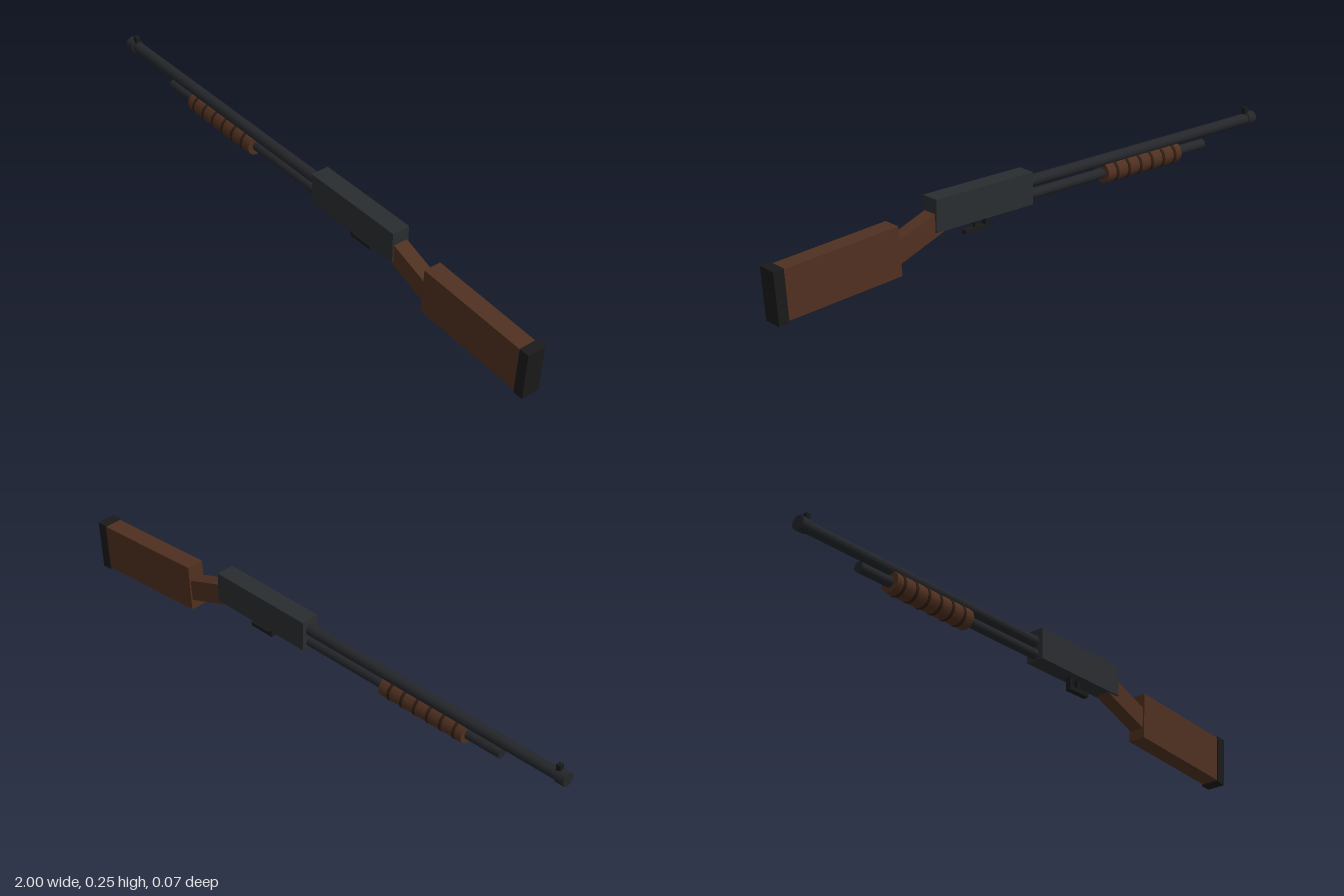
import * as THREE from 'three';

const mat = (color) => new THREE.MeshStandardMaterial({ color });

export function createModel() {
  const model = new THREE.Group();
  const steel = mat(0x2a2d30), barrelSteel = mat(0x24262a), black = mat(0x1a1a1a);
  const wood = mat(0x4f3020), darkWood = mat(0x2e1c12);

  const add = (name, geometry, material, x, y, tilt = 0) => {
    const mesh = new THREE.Mesh(geometry, material);
    mesh.name = name;
    mesh.position.set(x, y, 0);
    mesh.rotation.z = tilt;
    model.add(mesh);
    return mesh;
  };
  const box = (name, material, x, y, w, h, d, tilt) =>
    add(name, new THREE.BoxGeometry(w, h, d), material, x, y, tilt);
  // Cylinder lying along x from x0 to x1
  const rod = (name, material, x0, x1, y, r, sides = 16) =>
    add(name, new THREE.CylinderGeometry(r, r, x1 - x0, sides).rotateZ(Math.PI / 2), material, (x0 + x1) / 2, y);

  // Receiver and barrel assembly
  box('receiver', steel, 0.218, 0.195, 0.385, 0.106, 0.063);
  rod('barrel', barrelSteel, -0.99, 0.04, 0.208, 0.019);
  rod('muzzleRing', barrelSteel, -1, -0.967, 0.208, 0.023);
  box('frontSight', black, -0.967, 0.235, 0.016, 0.026, 0.016);
  rod('magazineTube', barrelSteel, -0.758, 0.04, 0.164, 0.017);

  // Sliding fore-end with raised ribs
  rod('pumpGrip', wood, -0.628, -0.297, 0.165, 0.0345, 12);
  for (let i = 0; i < 6; i++) {
    const x = -0.597 + i * 0.052;
    rod('pumpRib', darkWood, x - 0.005, x + 0.005, 0.165, 0.0367, 12);
  }

  // Trigger and open guard
  box('guardPost', black, 0.195, 0.122, 0.01, 0.05, 0.02);
  box('guardBar', black, 0.235, 0.105, 0.09, 0.013, 0.02);
  box('trigger', black, 0.235, 0.126, 0.01, 0.04, 0.012);

  // Angled wrist, stock and butt pad
  box('wrist', wood, 0.465, 0.142, 0.22, 0.071, 0.05, -0.36);
  box('stock', wood, 0.755, 0.104, 0.415, 0.161, 0.061, -0.07);
  box('buttPad', black, 0.976, 0.0877, 0.036, 0.172, 0.066, -0.07);

  return model;
}
